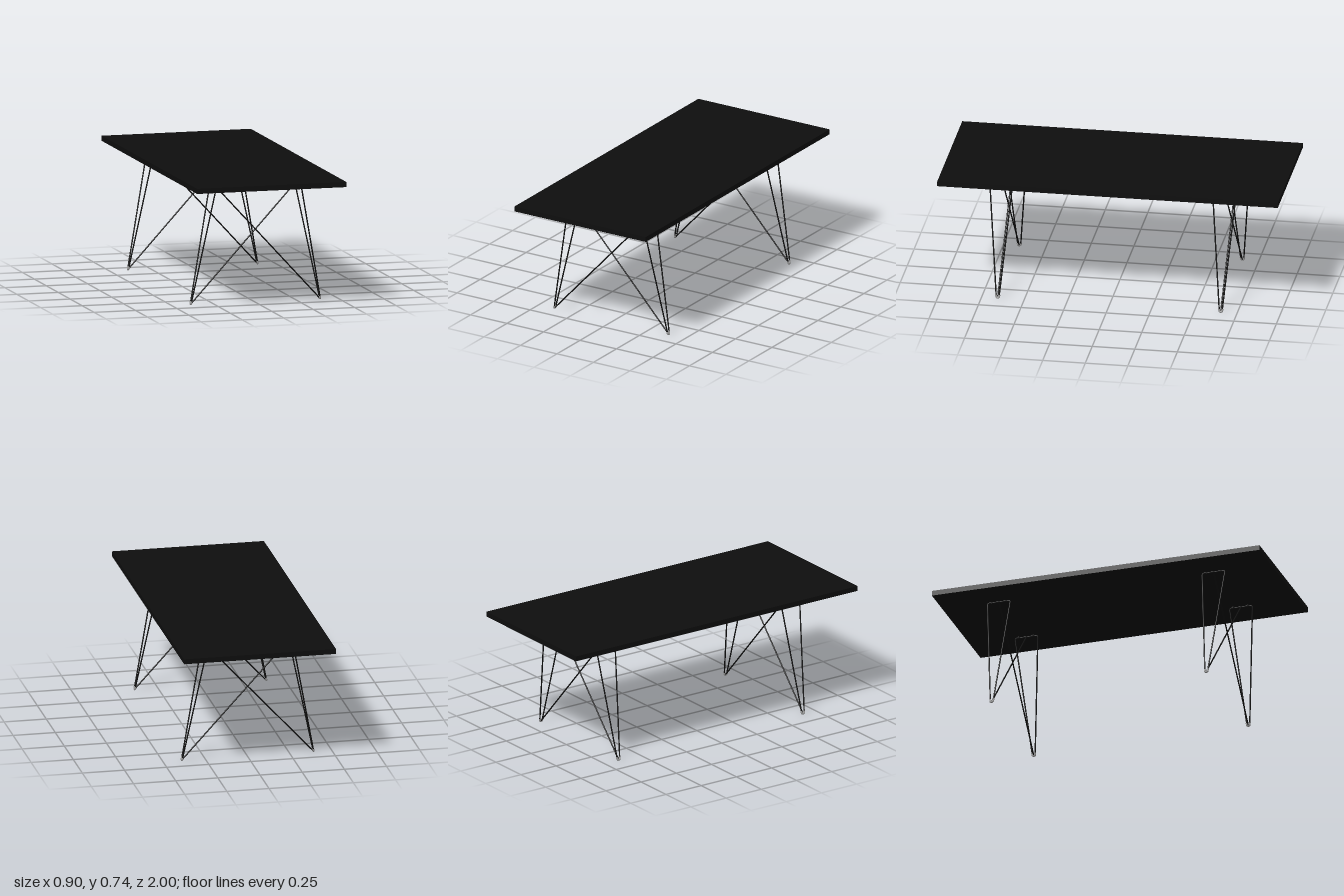
import * as THREE from 'three';

const black = new THREE.MeshStandardMaterial({ color: 0x0d0d0d });
const grey = new THREE.MeshStandardMaterial({ color: 0x999999 });
const ROD = 0.004;
const TOP_Y = 0.706, FOOT_Y = 0.0065;   // rod centre heights
const TOP_X = 0.253, FOOT_X = 0.39;
const FRAME_Z = 0.655;

// Straight runs joined by rounded corners
function roundedPath(points, radius) {
  const path = new THREE.CurvePath();
  let from = points[0];
  for (let i = 1; i < points.length - 1; i++) {
    const p = points[i];
    const toward = (q) => p.clone().add(q.clone().sub(p).setLength(Math.min(radius, p.distanceTo(q) * 0.49)));
    const a = toward(points[i - 1]), b = toward(points[i + 1]);
    path.add(new THREE.LineCurve3(from, a));
    path.add(new THREE.QuadraticBezierCurve3(a, p, b));
    from = b;
  }
  path.add(new THREE.LineCurve3(from, points[points.length - 1]));
  return path;
}

function tube(name, path, segments, radius, material) {
  const mesh = new THREE.Mesh(new THREE.TubeGeometry(path, segments, radius, 10), material);
  mesh.name = name;
  return mesh;
}

// One leg: a bent outer loop, a diagonal brace, and a foot sleeve
function createLeg(s) {
  const leg = new THREE.Group();
  leg.name = s > 0 ? 'leftLeg' : 'rightLeg';

  // Point on the sloping plane of the loop at height y
  const at = (y, z) => new THREE.Vector3(
    s * THREE.MathUtils.mapLinear(y, FOOT_Y, TOP_Y, FOOT_X, TOP_X), y, z);
  const loop = roundedPath([
    at(TOP_Y, 0), at(TOP_Y, 0.07), at(FOOT_Y, 0.008),
    at(FOOT_Y, -0.008), at(TOP_Y, -0.07), at(TOP_Y, 0),
  ], 0.014);
  leg.add(tube('outerLoop', loop, 240, ROD, black));

  // Brace crossing to the opposite side under the top
  const brace = new THREE.LineCurve3(
    new THREE.Vector3(s * FOOT_X, FOOT_Y, 0), new THREE.Vector3(-s * TOP_X, TOP_Y, 0));
  leg.add(tube('diagonalBrace', brace, 1, ROD, black));

  // Sleeve around the bend at the floor
  const sleeve = roundedPath([
    at(0.024, 0.0095), at(FOOT_Y, 0.008), at(FOOT_Y, -0.008), at(0.024, -0.0095),
  ], 0.014);
  leg.add(tube('footSleeve', sleeve, 24, 0.006, grey));

  // Fixings that hold the top bar to the underside
  for (const z of [-0.045, 0.045]) {
    const fixing = new THREE.Mesh(new THREE.CylinderGeometry(0.005, 0.005, 0.008, 12), black);
    fixing.name = 'fixing';
    fixing.position.set(s * 0.244, 0.707, z);
    leg.add(fixing);
  }
  return leg;
}

export function createModel() {
  const table = new THREE.Group();
  table.name = 'table';

  const top = new THREE.Mesh(new THREE.BoxGeometry(0.9, 0.03, 2), black);
  top.name = 'tableTop';
  top.position.y = 0.725;
  table.add(top);

  for (const side of [1, -1]) {
    const frame = new THREE.Group();
    frame.name = side > 0 ? 'frontFrame' : 'backFrame';
    frame.position.z = side * FRAME_Z;
    frame.add(createLeg(1), createLeg(-1));
    table.add(frame);
  }
  return table;
}
